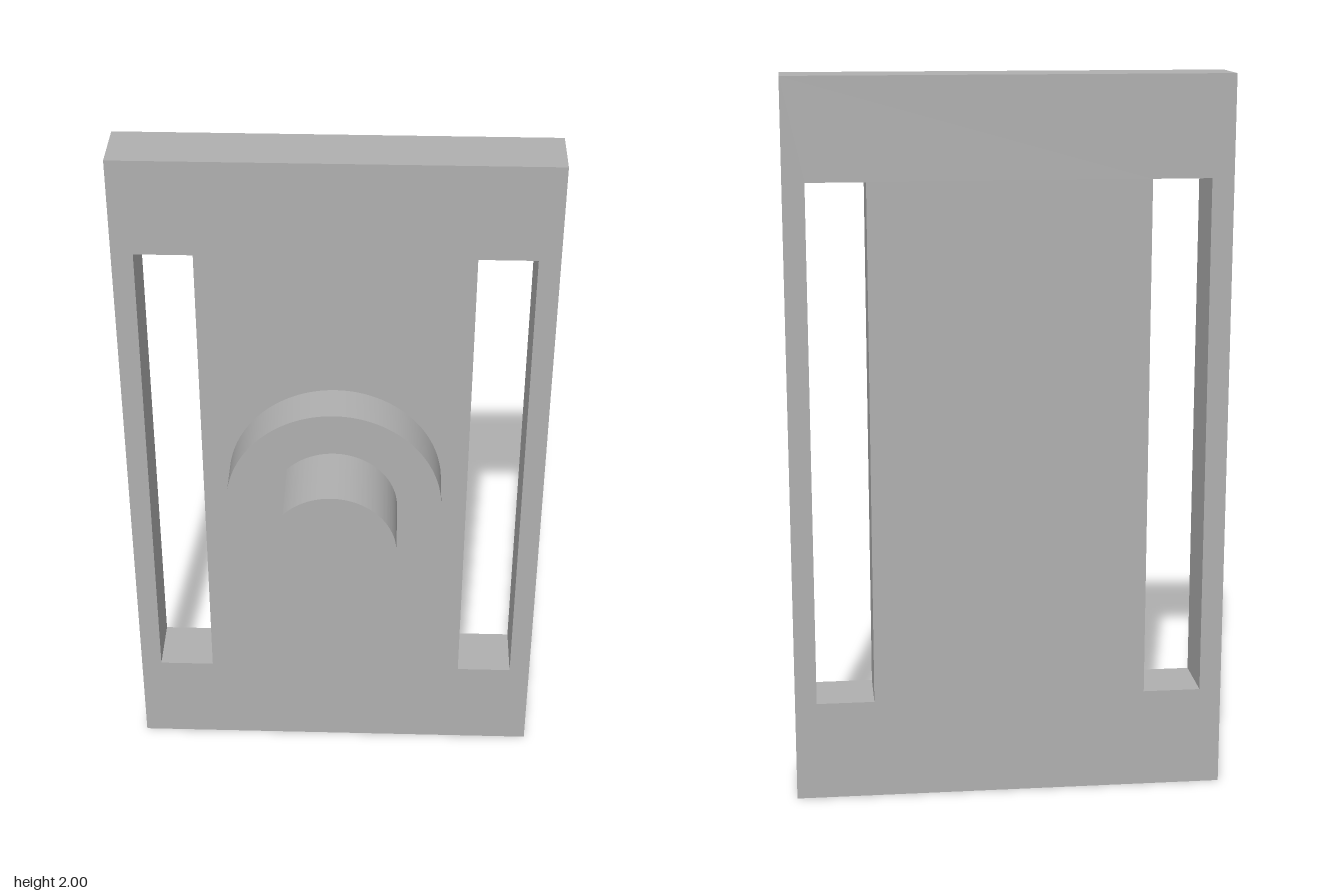
import * as THREE from 'three';
import { toCreasedNormals } from 'three/addons/utils/BufferGeometryUtils.js';

const BACK = -0.255, PLATE_FRONT = -0.085, COLLAR_FRONT = 0.045, SHAFT_FRONT = 0.255;
const CENTER_Y = 1;

// Closed rectangle outline, used for the plate and its slots
function rectangle(target, x0, y0, x1, y1) {
  target.moveTo(x0, y0);
  target.lineTo(x1, y0);
  target.lineTo(x1, y1);
  target.lineTo(x0, y1);
  target.closePath();
  return target;
}

// Extrude a front-facing shape between two depths, with crisp edges
function extrudeBetween(shape, z0, z1) {
  const geometry = new THREE.ExtrudeGeometry(shape, {
    depth: z1 - z0, bevelEnabled: false, curveSegments: 64,
  });
  geometry.translate(0, 0, z0);
  return toCreasedNormals(geometry, 0.4);
}

export function createModel() {
  const model = new THREE.Group();
  model.name = 'slottedPlateWithShaft';
  const grey = new THREE.MeshStandardMaterial({ color: 0xb0b0b0 });
  grey.name = 'grey';

  const add = (name, geometry, y = 0) => {
    const mesh = new THREE.Mesh(geometry, grey);
    mesh.name = name;
    mesh.position.y = y;
    model.add(mesh);
  };

  // Plate with a tall slot cut through on each side
  const plate = rectangle(new THREE.Shape(), -0.6, 0, 0.6, 2);
  for (const x of [-0.54, 0.38]) {
    plate.holes.push(rectangle(new THREE.Path(), x, 0.28, x + 0.16, 1.725));
  }
  add('plate', extrudeBetween(plate, BACK, PLATE_FRONT));

  // Round collar
  const collar = new THREE.Shape().absarc(0, 0, 0.304, 0, Math.PI * 2);
  add('collar', extrudeBetween(collar, PLATE_FRONT, COLLAR_FRONT), CENTER_Y);

  // D-shaped shaft, with its flat on the right
  const radius = 0.179;
  const flatAngle = Math.acos(-0.131 / radius);
  const shaft = new THREE.Shape().absarc(0, 0, radius, -flatAngle, flatAngle);
  shaft.closePath();
  add('shaft', extrudeBetween(shaft, COLLAR_FRONT, SHAFT_FRONT), CENTER_Y);

  return model;
}
